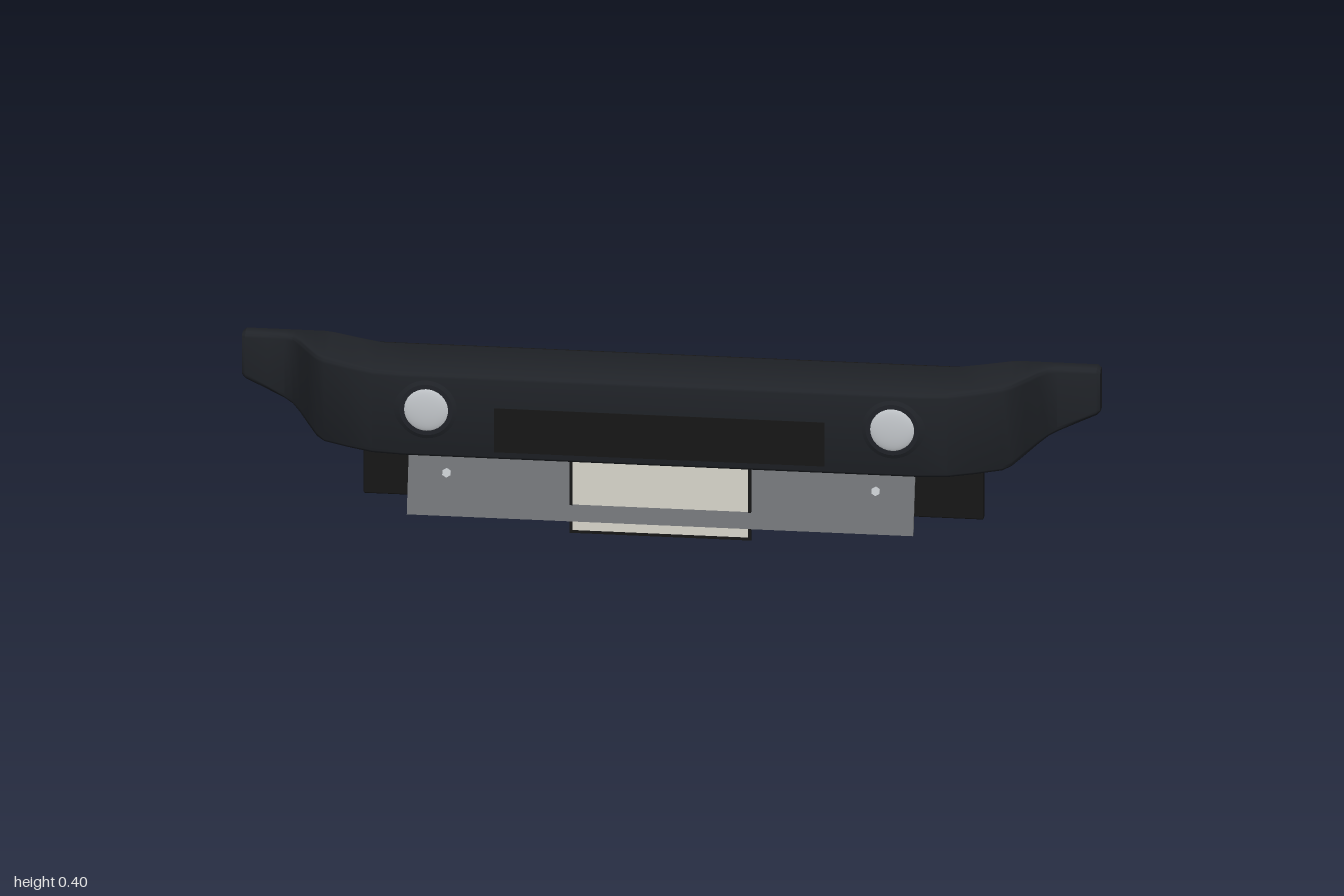
import * as THREE from 'three';
import { toCreasedNormals } from 'three/addons/utils/BufferGeometryUtils.js';
import { RoundedBoxGeometry } from 'three/addons/geometries/RoundedBoxGeometry.js';

const mat = (color, extra = {}) => new THREE.MeshStandardMaterial({ color, ...extra });
const BODY = mat(0x202328);
const BLACK = mat(0x171717);
const STEEL = mat(0x707275);
const LENS = mat(0xc4c8cc);
const CREAM = mat(0xd9d7cc);

function add(parent, name, geometry, material, x = 0, y = 0, z = 0) {
  const mesh = new THREE.Mesh(geometry, material);
  mesh.name = name;
  mesh.position.set(x, y, z);
  parent.add(mesh);
  return mesh;
}

// Rounded rectangle in the y-z plane, listed front, top, back, bottom
function ring([x, back, front, bottom, top = 0.402, r = 0.013]) {
  const corners = [
    [front - r, top - r], [back + r, top - r], [back + r, bottom + r], [front - r, bottom + r],
  ];
  const points = [];
  corners.forEach(([z, y], k) => {
    for (let s = 0; s <= 4; s++) {
      const a = (k + s / 4) * Math.PI / 2;
      points.push([x, y + r * Math.sin(a), z + r * Math.cos(a)]);
    }
  });
  return points;
}

// Closed skin through the bumper cross-sections
function loft(sections) {
  const rings = sections.map(ring);
  const n = rings[0].length;
  const positions = rings.flat(2);
  const index = [];
  for (let i = 0; i < rings.length - 1; i++) {
    for (let j = 0; j < n; j++) {
      const k = (j + 1) % n;
      const a = i * n + j, b = i * n + k, c = a + n, d = b + n;
      index.push(a, c, b, b, c, d);
    }
  }
  const last = (rings.length - 1) * n;
  for (let j = 1; j < n - 1; j++) {
    index.push(0, j, j + 1, last, last + j + 1, last + j);
  }
  const geometry = new THREE.BufferGeometry();
  geometry.setAttribute('position', new THREE.Float32BufferAttribute(positions, 3));
  geometry.setIndex(index);
  return toCreasedNormals(geometry, 0.6);
}

export function createModel() {
  const model = new THREE.Group();
  model.name = 'frontBumper';

  // Bumper beam: half-sections from the middle to the tip [x, back, front, bottom, top, radius]
  const half = [
    [0.3, -0.045, 0.155, 0.194],
    [0.6, -0.045, 0.155, 0.194],
    [0.67, -0.046, 0.147, 0.194],
    [0.73, -0.072, 0.12, 0.194],
    [0.79, -0.1, 0.087, 0.194],
    [0.81, -0.105, 0.068, 0.199],
    [0.835, -0.105, 0.025, 0.211],
    [0.86, -0.105, -0.02, 0.223],
    [0.88, -0.105, -0.048, 0.233],
    [0.9, -0.105, -0.058, 0.242],
    [0.94, -0.105, -0.06, 0.261],
    [0.992, -0.105, -0.06, 0.286],
    [1, -0.1, -0.065, 0.294, 0.396, 0.01],
  ];
  const mirrored = half.map(([x, ...rest]) => [-x, ...rest]).reverse();
  add(model, 'bumperBeam', loft([...mirrored, ...half]), BODY);

  // Dark grille panel in the middle of the front face
  add(model, 'grillePanel', new THREE.BoxGeometry(0.77, 0.108, 0.01), BLACK, 0, 0.268, 0.1515);

  // Fog lamps: bezel and domed lens
  const bezel = new THREE.CylinderGeometry(0.062, 0.085, 0.01, 40).rotateX(Math.PI / 2);
  const dome = new THREE.SphereGeometry(0.054, 32, 12, 0, Math.PI * 2, 0, Math.PI / 2)
    .rotateX(Math.PI / 2).scale(1, 1, 0.18);
  for (const side of [-1, 1]) {
    add(model, 'fogLampBezel', bezel, BODY, side * 0.543, 0.312, 0.154);
    add(model, 'fogLampLens', dome, LENS, side * 0.543, 0.312, 0.156);
  }

  // Tilted skid plate with two bolts
  const skid = new THREE.Group();
  skid.name = 'skidPlateAssembly';
  skid.position.set(0, 0.122, 0.119);
  skid.rotation.x = -0.26;
  model.add(skid);
  add(skid, 'skidPlate', new THREE.BoxGeometry(1.18, 0.158, 0.008), STEEL);
  for (const side of [-1, 1]) {
    const bolt = new THREE.CylinderGeometry(0.011, 0.011, 0.008, 6).rotateX(Math.PI / 2);
    add(skid, 'skidPlateBolt', bolt, LENS, side * 0.5, 0.022, 0.007);
  }

  // Blank number plate in a thin dark frame
  add(model, 'numberPlate', new THREE.BoxGeometry(0.41, 0.18, 0.004), CREAM, 0, 0.112, 0.131);
  for (const side of [-1, 1]) {
    add(model, 'plateFrameSide', new THREE.BoxGeometry(0.007, 0.186, 0.005), BLACK, side * 0.208, 0.109, 0.131);
  }
  add(model, 'plateFrameBottom', new THREE.BoxGeometry(0.423, 0.007, 0.005), BLACK, 0, 0.0185, 0.131);

  // Rear mounting plate and the brackets passing through it
  add(model, 'mountingPlate', new RoundedBoxGeometry(1.445, 0.368, 0.024, 2, 0.004), BLACK, 0, 0.184, -0.121);
  for (const side of [-1, 1]) {
    add(model, 'mountingBracket', new RoundedBoxGeometry(0.092, 0.156, 0.262, 2, 0.004), BODY, side * 0.434, 0.16, -0.032);
  }

  return model;
}
